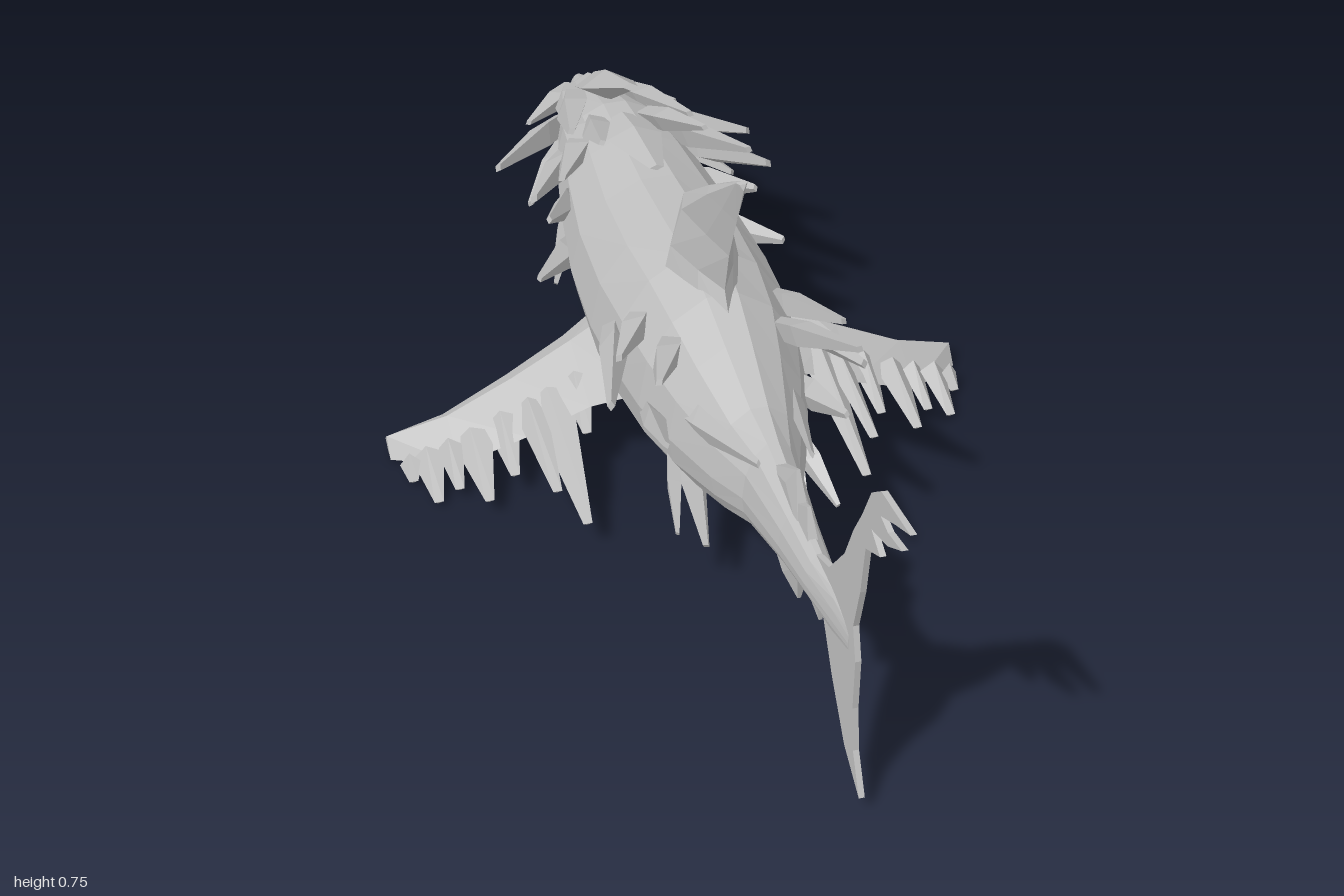
import * as THREE from 'three';
import { ConvexGeometry } from 'three/addons/geometries/ConvexGeometry.js';

const V = (x, y, z) => new THREE.Vector3(x, y, z);
const skin = new THREE.MeshStandardMaterial({ color: 0xc0c0c0, flatShading: true, side: THREE.DoubleSide });
skin.name = 'grey skin';

// Lofted body, narrow above and flat below: each section is [z, bottom, top, half width]
function bodyGeometry(sections, sides = 14) {
  const pos = [], idx = [];
  for (const [z, lo, hi, w] of sections) {
    const mid = lo + (hi - lo) * 0.4;
    for (let i = 0; i < sides; i++) {
      const a = (i / sides) * Math.PI * 2, s = Math.sin(a), c = Math.cos(a);
      const x = Math.sign(c) * Math.pow(Math.abs(c), s < 0 ? 0.7 : 1.12) * w;
      pos.push(x, mid + s * (s > 0 ? hi - mid : mid - lo), z);
    }
  }
  const n = sections.length;
  for (let r = 0; r < n - 1; r++) for (let i = 0; i < sides; i++) {
    const a = r * sides + i, b = r * sides + (i + 1) % sides;
    idx.push(a, b, a + sides, b, b + sides, a + sides);
  }
  for (let i = 1; i < sides - 1; i++) {
    idx.push(0, i + 1, i);
    const e = (n - 1) * sides;
    idx.push(e, e + i, e + i + 1);
  }
  const g = new THREE.BufferGeometry();
  g.setAttribute('position', new THREE.Float32BufferAttribute(pos, 3));
  g.setIndex(idx);
  g.computeVertexNormals();
  return g;
}

// Faceted blade from base to tip, fattest near a third of its length, blunt at the end
function bladeGeometry(base, tip, w, t) {
  const dir = tip.clone().sub(base);
  const out = V(base.x, base.y - 0.28, 0).normalize();
  const across = dir.clone().cross(out).normalize();
  const up = across.clone().cross(dir).normalize();
  const pts = [];
  for (const [f, k] of [[0, 0.8], [0.35, 1], [1, 0.26]]) {
    const c = base.clone().addScaledVector(dir, f);
    for (const s of [-1, 1]) {
      pts.push(c.clone().addScaledVector(across, s * w * k));
      pts.push(c.clone().addScaledVector(up, s * t * k));
    }
  }
  return new ConvexGeometry(pts);
}

export function createModel() {
  const model = new THREE.Group();
  const add = (name, geometry, parent = model) => {
    const m = new THREE.Mesh(geometry, skin);
    m.name = name;
    parent.add(m);
    return m;
  };
  const group = (name) => {
    const g = new THREE.Group();
    g.name = name;
    model.add(g);
    return g;
  };

  add('body', bodyGeometry([
    [-1, 0.275, 0.31, 0.014], [-0.94, 0.265, 0.335, 0.04], [-0.86, 0.24, 0.37, 0.078],
    [-0.72, 0.22, 0.415, 0.112], [-0.58, 0.185, 0.43, 0.138], [-0.42, 0.15, 0.44, 0.16],
    [-0.25, 0.13, 0.46, 0.168], [-0.12, 0.122, 0.475, 0.162], [0, 0.127, 0.465, 0.148],
    [0.1, 0.142, 0.43, 0.122], [0.22, 0.17, 0.385, 0.082], [0.3, 0.195, 0.37, 0.052],
    [0.45, 0.23, 0.345, 0.035], [0.56, 0.248, 0.335, 0.026], [0.66, 0.255, 0.335, 0.014], [0.73, 0.27, 0.32, 0.006],
  ]));

  // Crescent tail with a torn upper lobe
  const outline = [
    [0.5, 0.31], [0.56, 0.335], [0.625, 0.36], [0.7, 0.445], [0.74, 0.52], [0.78, 0.58], [0.82, 0.65], [0.865, 0.685],
    [1, 0.705], [0.935, 0.675], [0.865, 0.64], [0.9, 0.635], [0.965, 0.65], [0.9, 0.61], [0.825, 0.585],
    [0.868, 0.565], [0.8, 0.53], [0.78, 0.43], [0.75, 0.34], [0.765, 0.28], [0.757, 0.18],
    [0.765, 0.1], [0.8, 0.03], [0.72, 0.075], [0.65, 0.16], [0.6, 0.24], [0.55, 0.25],
  ];
  const tail = new THREE.ExtrudeGeometry(new THREE.Shape(outline.map(([z, y]) => new THREE.Vector2(z, y))),
    { depth: 0.01, bevelEnabled: false });
  tail.rotateY(-Math.PI / 2).translate(0.005, 0, 0);
  add('tailFin', tail);

  // Swept dorsal fin, thick in front: rows of [y, front z, back z, half width]
  const fin = [[0.42, -0.19, 0.06, 0.07], [0.49, -0.172, 0.015, 0.056], [0.575, -0.15, 0.04, 0.042],
    [0.67, -0.02, 0.085, 0.028], [0.755, 0.11, 0.125, 0.01]];
  const dorsal = group('dorsalFin');
  const finRow = ([y, a, b, w]) => [V(0, y - 0.01, b), ...[-1, 1].flatMap((s) => [
    V(s * w * 0.6, y, a), V(s * w, y, a + (b - a) * 0.25), V(s * w * 0.55, y, a + (b - a) * 0.7)])];
  for (let i = 0; i < fin.length - 1; i++) add('dorsalFinSection', new ConvexGeometry([...finRow(fin[i]), ...finRow(fin[i + 1])]), dorsal);

  // Paired blades: base xyz, tip xyz, half width, half thickness
  const head = [
    [0.05, 0.4, -0.68, 0.093, 0.51, -0.44, 0.028, 0.022],
    [0.08, 0.38, -0.66, 0.17, 0.46, -0.425, 0.034, 0.024],
    [0.1, 0.34, -0.68, 0.215, 0.405, -0.455, 0.042, 0.024],
    [0.11, 0.3, -0.6, 0.19, 0.36, -0.45, 0.03, 0.02],
    [0.12, 0.25, -0.53, 0.225, 0.28, -0.39, 0.028, 0.02],
    [0.07, 0.31, -0.84, 0.235, 0.35, -0.655, 0.038, 0.024],
    [0.05, 0.36, -0.84, 0.11, 0.44, -0.6, 0.034, 0.024],
    [0.09, 0.31, -0.76, 0.19, 0.3, -0.6, 0.03, 0.02],
    [0.03, 0.31, -0.95, 0.14, 0.335, -0.815, 0.032, 0.02],
    [0.04, 0.34, -0.9, 0.09, 0.385, -0.73, 0.03, 0.02],
    [0.08, 0.37, -0.74, 0.12, 0.42, -0.53, 0.035, 0.022],
  ];
  const chin = [
    [0.07, 0.225, -0.73, 0.145, 0.11, -0.61, 0.026, 0.018],
    [0.1, 0.225, -0.68, 0.155, 0.18, -0.57, 0.02, 0.014],
  ];
  const flank = [
    [0.09, 0.38, 0.0, 0.17, 0.47, 0.225, 0.032, 0.024],
    [0.13, 0.29, -0.22, 0.22, 0.345, 0.1, 0.038, 0.026],
    [0.11, 0.36, -0.12, 0.195, 0.41, 0.06, 0.034, 0.024],
    [0.13, 0.25, 0.0, 0.155, 0.33, 0.21, 0.028, 0.02],
    [0.105, 0.29, 0.04, 0.045, 0.385, 0.37, 0.03, 0.014],
    [0.08, 0.19, 0.06, 0.088, 0.105, 0.21, 0.036, 0.018],
    [0.11, 0.2, 0.08, 0.14, 0.15, 0.22, 0.022, 0.014],
  ];
  const lists = { headSpikes: head, chinSpikes: chin, flankSpikes: flank };
  for (const [name, list] of Object.entries(lists)) {
    const g = group(name);
    for (const [a, b, c, d, e, f, w, t] of list) for (const s of [1, -1])
      add(s > 0 ? 'leftSpike' : 'rightSpike', bladeGeometry(V(s * a, b, c), V(s * d, e, f), w, t), g);
  }

  // Centre-line plates and small tail fins
  add('brow', bladeGeometry(V(0, 0.31, -0.96), V(0, 0.4, -0.82), 0.04, 0.02));
  add('crest', bladeGeometry(V(0, 0.37, -0.86), V(0, 0.515, -0.6), 0.05, 0.028));
  add('napePlate', bladeGeometry(V(0, 0.41, -0.66), V(0, 0.455, -0.42), 0.05, 0.02));
  const smallFins = [
    [[0.3, 0.33], [0.44, 0.415], [0.41, 0.37], [0.48, 0.32]],
    [[0.4, 0.33], [0.5, 0.385], [0.54, 0.3]],
    [[0.28, 0.22], [0.455, 0.165], [0.4, 0.18], [0.48, 0.25]],
    [[0.46, 0.26], [0.57, 0.21], [0.58, 0.27]],
  ];
  for (const p of smallFins) add('smallTailFin', new ConvexGeometry(
    p.flatMap(([z, y], i) => (i === 1 ? [V(0.003, y, z), V(-0.003, y, z)] : [V(0.012, y, z), V(-0.012, y, z)]))));

  // Drooping pectoral fins: sections of [x, y, front z, back z, half thickness]
  const wing = [[0.1, 0.2, -0.41, -0.14, 0.035], [0.19, 0.16, -0.375, -0.18, 0.03],
    [0.3, 0.11, -0.355, -0.19, 0.027], [0.42, 0.058, -0.34, -0.21, 0.024], [0.525, 0.027, -0.34, -0.3, 0.012]];
  // Ragged trailing edge, each with a broad root: [x, root y, tip y, tip z, half width]
  const rags = [[0.2, 0.15, 0.1, -0.16, 0.03], [0.25, 0.125, 0.06, 0.04, 0.042], [0.285, 0.11, 0.085, -0.03, 0.03],
    [0.335, 0.09, 0.05, -0.14, 0.032], [0.39, 0.065, 0.035, -0.1, 0.038], [0.43, 0.05, 0.025, -0.16, 0.025],
    [0.47, 0.04, 0.012, -0.15, 0.03], [0.5, 0.03, 0.012, -0.22, 0.02]];
  for (const s of [1, -1]) {
    const g = group(s > 0 ? 'leftPectoralFin' : 'rightPectoralFin');
    const row = ([x, y, a, b, t]) => [V(s * x, y, a), V(s * x, y + t, a + (b - a) * 0.3),
      V(s * x, y - t, a + (b - a) * 0.4), V(s * x, y - 0.02, b)];
    for (let i = 0; i < wing.length - 1; i++)
      add('finSection', new ConvexGeometry([...row(wing[i]), ...row(wing[i + 1])]), g);
    for (const [x, y, tipY, z, w] of rags) add('finRag', new ConvexGeometry([
      V(s * (x - w), y + w * 0.4, -0.24), V(s * (x + w * 0.8), y - w * 0.4, -0.26),
      V(s * x, y + 0.022, -0.25), V(s * x, Math.max(y - 0.04, 0.004), -0.23),
      V(s * (x - 0.008), tipY, z), V(s * (x + 0.008), tipY, z), V(s * x, tipY - 0.01, z - 0.01)]), g);
  }
  return model;
}
